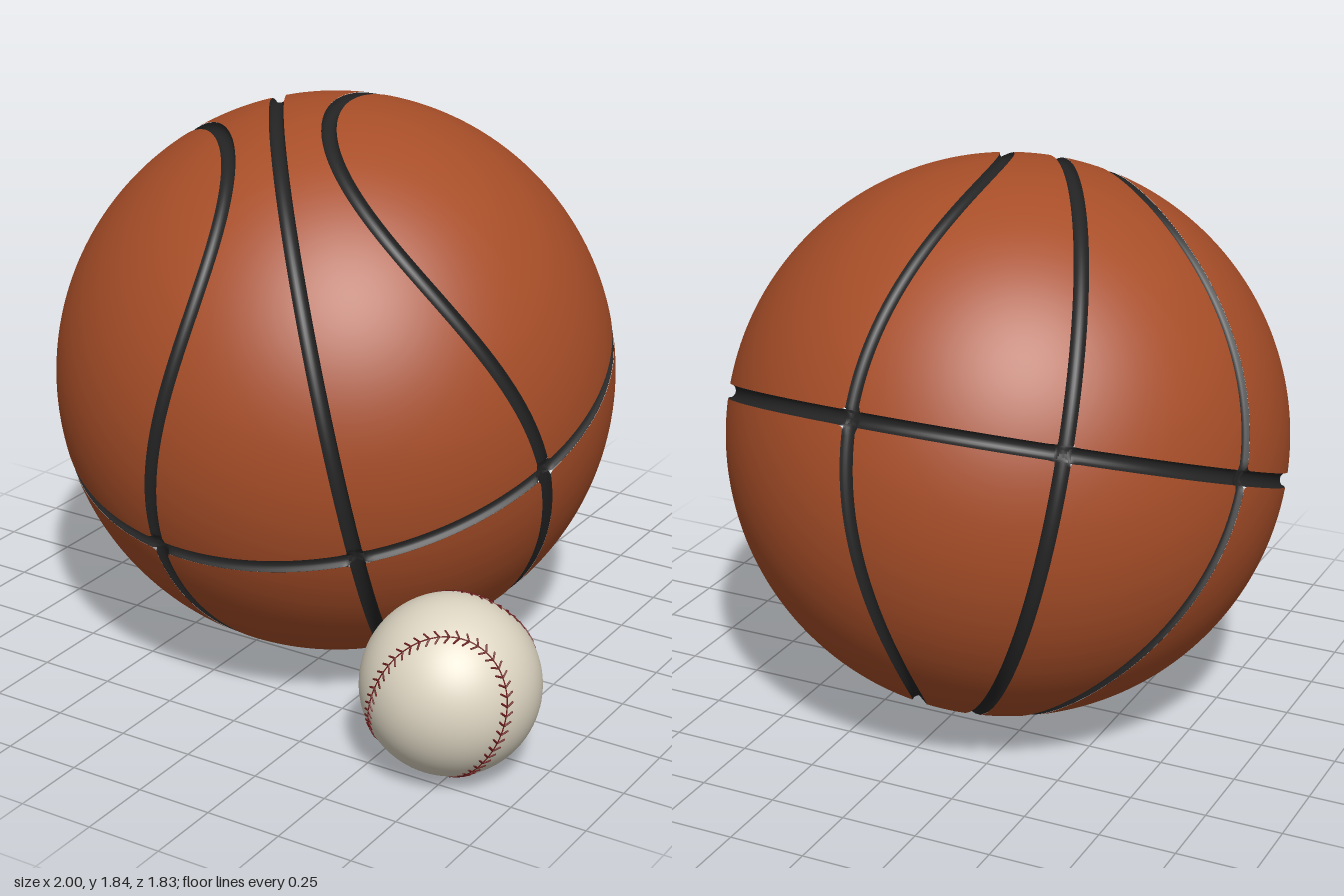
import * as THREE from 'three';
import { mergeGeometries } from 'three/addons/utils/BufferGeometryUtils.js';

const V = (x, y, z) => new THREE.Vector3(x, y, z);
const paint = (color, extra = {}) => new THREE.MeshStandardMaterial({ color, ...extra });

function part(name, geometry, material) {
  const mesh = new THREE.Mesh(geometry, material);
  mesh.name = name;
  return mesh;
}

// Groove half width and depth on the unit ball
const HALF = 0.026, DEPTH = 0.022;
// Side loops satisfy |z| = LOOP - BEND * y^2 on the unit sphere
const LOOP = 0.663, BEND = 0.504;

// Distance from a point on the unit sphere to the nearest groove centre line
function grooveDistance(p) {
  const g = V(0, 2 * BEND * p.y, Math.sign(p.z) || 1);
  g.addScaledVector(p, -g.dot(p));
  const loop = Math.abs(Math.abs(p.z) - LOOP + BEND * p.y * p.y) / Math.max(g.length(), 0.2);
  return Math.min(Math.asin(Math.min(1, Math.abs(p.y))), Math.asin(Math.min(1, Math.abs(p.z))), loop);
}

// Leather: a fine sphere with every triangle clipped at the groove edges
function leatherGeometry() {
  const src = new THREE.IcosahedronGeometry(1, 54).attributes.position;
  const out = [];
  for (let i = 0; i < src.count; i += 3) {
    const tri = [0, 1, 2].map(k => V().fromBufferAttribute(src, i + k).normalize());
    const f = tri.map(p => grooveDistance(p) - HALF);
    const poly = [];
    for (let k = 0; k < 3; k++) {
      const n = (k + 1) % 3;
      if (f[k] >= 0) poly.push(tri[k]);
      if ((f[k] >= 0) !== (f[n] >= 0)) {
        poly.push(tri[k].clone().lerp(tri[n], f[k] / (f[k] - f[n])).normalize());
      }
    }
    for (let k = 1; k + 1 < poly.length; k++) {
      for (const p of [poly[0], poly[k], poly[k + 1]]) out.push(p.x, p.y, p.z);
    }
  }
  const geo = new THREE.BufferGeometry();
  geo.setAttribute('position', new THREE.Float32BufferAttribute(out, 3));
  geo.setAttribute('normal', new THREE.Float32BufferAttribute(out.slice(), 3));
  return geo;
}

// Rounded channel swept along a closed curve on the unit sphere
function channelGeometry(curve, steps = 320, across = 12) {
  const pos = [], index = [], row = across + 1;
  for (let i = 0; i <= steps; i++) {
    const t = (i / steps) * Math.PI * 2;
    const p = curve(t).normalize();
    const side = curve(t + 0.002).sub(curve(t - 0.002)).cross(p).normalize();
    for (let j = 0; j <= across; j++) {
      const u = 1.06 * HALF * Math.sin((j / across - 0.5) * Math.PI);
      const q = p.clone().addScaledVector(side, u).normalize();
      const d = grooveDistance(q) / HALF;
      q.multiplyScalar(0.9985 - DEPTH * Math.sqrt(Math.max(0, 1 - d * d)));
      pos.push(q.x, q.y, q.z);
      if (i < steps && j < across) {
        const a = i * row + j, b = a + row;
        index.push(a, a + 1, b, a + 1, b + 1, b);
      }
    }
  }
  const geo = new THREE.BufferGeometry();
  geo.setAttribute('position', new THREE.Float32BufferAttribute(pos, 3));
  geo.setIndex(index);
  geo.computeVertexNormals();
  return geo;
}

function buildLargeBall() {
  const ball = new THREE.Group();
  ball.name = 'largeBall';
  ball.add(part('leather', leatherGeometry(), paint(0xa84e28)));

  // Two great circles and a mirrored pair of loops
  const loop = s => t => {
    const w = Math.sin(t) ** 2;
    return V(Math.cos(t) * Math.sqrt(0.56 + 0.239 * w), 0.985 * Math.sin(t), s * (LOOP - 0.489 * w));
  };
  const curves = {
    equatorGroove: t => V(Math.cos(t), 0, Math.sin(t)),
    meridianGroove: t => V(Math.cos(t), Math.sin(t), 0),
    loopGrooveA: loop(1),
    loopGrooveB: loop(-1),
  };
  const black = paint(0x242424, { side: THREE.DoubleSide });
  for (const [name, curve] of Object.entries(curves)) ball.add(part(name, channelGeometry(curve), black));

  // Tilt so that the equator groove drops towards the front
  const up = V(0, 0.932, 0.362).normalize();
  const front = V(0.563, -0.306, 0.768);
  front.addScaledVector(up, -front.dot(up)).normalize();
  ball.setRotationFromMatrix(new THREE.Matrix4().makeBasis(front, up, front.clone().cross(up)));
  ball.scale.setScalar(0.915);
  ball.position.set(-0.085, 0.93, 0);
  return ball;
}

function buildSmallBall() {
  const ball = new THREE.Group();
  ball.name = 'smallBall';
  const R = 0.279;
  ball.add(part('cover', new THREE.SphereGeometry(R, 64, 48), paint(0xddd5c2)));

  // Seam axes: neck of one cover piece, and the middle of its lobes
  const neck = V(0.42, 0.907, -0.02).normalize();
  const lobe = V(0.256, -0.1, 0.96);
  lobe.addScaledVector(neck, -lobe.dot(neck)).normalize();
  const cross = neck.clone().cross(lobe);
  const ex = lobe.clone().add(cross).normalize();
  const ey = lobe.clone().sub(cross).normalize();
  const a = 0.71, b = 0.29, c = 2 * Math.sqrt(a * b);
  const seamPoint = t => V()
    .addScaledVector(ex, a * Math.cos(t) + b * Math.cos(3 * t))
    .addScaledVector(ey, a * Math.sin(t) - b * Math.sin(3 * t))
    .addScaledVector(neck, c * Math.sin(2 * t))
    .multiplyScalar(R);
  const points = Array.from({ length: 96 }, (_, i) => seamPoint((i / 96) * Math.PI * 2));
  const seam = new THREE.CatmullRomCurve3(points, true);
  const red = paint(0x6b1a1a);
  ball.add(part('seam', new THREE.TubeGeometry(seam, 240, 0.0022, 6, true), red));

  // Pairs of slanted stitches forming V shapes along the seam
  const stitch = new THREE.CapsuleGeometry(0.0032, 0.022, 2, 6);
  const stitches = [], count = 100;
  for (let i = 0; i < count; i++) {
    const p = seam.getPointAt(i / count), tangent = seam.getTangentAt(i / count);
    const out = p.clone().normalize();
    for (const s of [-1, 1]) {
      const dir = out.clone().cross(tangent).multiplyScalar(s).addScaledVector(tangent, 0.65).normalize();
      const mid = p.clone().addScaledVector(dir, 0.013).setLength(R + 0.0005);
      dir.addScaledVector(mid, -dir.dot(mid) / mid.lengthSq()).normalize();
      const turn = new THREE.Quaternion().setFromUnitVectors(V(0, 1, 0), dir);
      stitches.push(stitch.clone().applyMatrix4(new THREE.Matrix4().compose(mid, turn, V(1, 1, 1))));
    }
  }
  ball.add(part('stitches', mergeGeometries(stitches), red));
  ball.position.set(0.72, 0.283, 0.63);
  return ball;
}

export function createModel() {
  const model = new THREE.Group();
  model.name = 'twoBalls';
  model.add(buildLargeBall(), buildSmallBall());
  return model;
}
